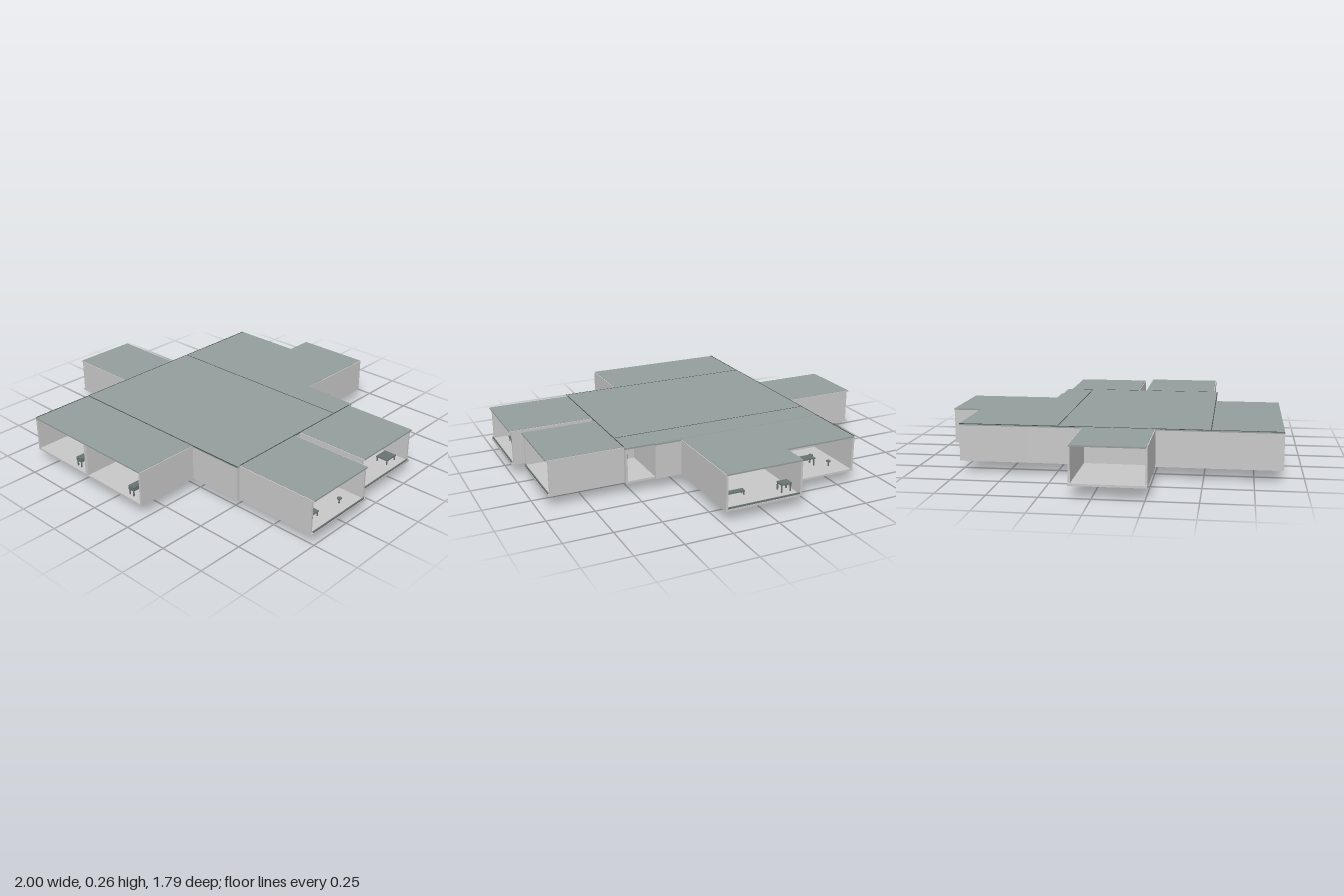
import * as THREE from 'three';

const mat = (name, color) => {
  const m = new THREE.MeshStandardMaterial({ color });
  m.name = name;
  return m;
};

export function createModel() {
  const root = new THREE.Group();
  root.name = 'modularBuilding';
  const wall = mat('wall grey', 0xc7c7c7);
  const roof = mat('roof grey green', 0x939d9b);
  const dark = mat('dark grey green', 0x687472);
  const glass = mat('window grey green', 0x9ba6a4);
  const line = mat('seam charcoal', 0x414847);

  const Y0 = 0.06, YF = 0.071, YC = 0.246, Y1 = 0.255, T = 0.011, LIP = 0.005;

  // Box given by its limits on each axis
  function block(parent, name, m, x0, x1, y0, y1, z0, z1) {
    const mesh = new THREE.Mesh(new THREE.BoxGeometry(x1 - x0, y1 - y0, z1 - z0), m);
    mesh.position.set((x0 + x1) / 2, (y0 + y1) / 2, (z0 + z1) / 2);
    mesh.name = name;
    parent.add(mesh);
  }

  // Box-shaped room with one open side; the outer walls show as a light lip beside the roof
  function room(name, x0, x1, z0, z1, open) {
    const g = new THREE.Group();
    g.name = name;
    root.add(g);
    const lipX = x1 === 0.235 ? LIP : 0, lipZ = open.endsWith('x') ? LIP : 0;
    block(g, 'floor', wall, x0, x1, Y0, YF, z0, z1);
    block(g, 'roof', roof, x0, x1 - lipX, YC, Y1 - 0.001, z0 + lipZ, z1 - lipZ);
    if (lipX) block(g, 'wallLip', wall, x1 - LIP, x1, YC, Y1 - 0.003, z0, z1);
    if (lipZ) {
      block(g, 'wallLip', wall, x0, x1, YC, Y1 - 0.003, z0, z0 + LIP);
      block(g, 'wallLip', wall, x0, x1, YC, Y1 - 0.003, z1 - LIP, z1);
    }
    if (open !== '-x') block(g, 'sideWall', wall, x0, x0 + T, YF, YC, z0, z1);
    if (open !== '+x') block(g, 'sideWall', wall, x1 - T, x1, YF, YC, z0, z1);
    if (open !== '-z') block(g, 'endWall', wall, x0 + T, x1 - T, YF, YC, z0, z0 + T);
    if (open !== '+z') block(g, 'endWall', wall, x0 + T, x1 - T, YF, YC, z1 - T, z1);
    return g;
  }

  // Table with four legs
  function table(parent, name, x, z, w, d, h = 0.045, thick = 0.007) {
    const g = new THREE.Group();
    g.name = name;
    parent.add(g);
    block(g, 'tableTop', dark, x - w / 2, x + w / 2, YF + h - thick, YF + h, z - d / 2, z + d / 2);
    for (const sx of [-1, 1]) for (const sz of [-1, 1]) {
      const lx = x + sx * (w / 2 - 0.005), lz = z + sz * (d / 2 - 0.005);
      block(g, 'tableLeg', dark, lx - 0.003, lx + 0.003, YF, YF + h - thick, lz - 0.003, lz + 0.003);
    }
  }

  // Small round stool
  function stool(parent, x, z) {
    const seat = new THREE.Mesh(new THREE.CylinderGeometry(0.012, 0.012, 0.006, 12), dark);
    seat.position.set(x, YF + 0.028, z);
    seat.name = 'stoolSeat';
    parent.add(seat);
    block(parent, 'stoolPost', dark, x - 0.003, x + 0.003, YF, YF + 0.026, z - 0.003, z + 0.003);
  }

  // Central block
  const core = new THREE.Group();
  core.name = 'core';
  root.add(core);
  const CX0 = -0.595, CX1 = 0.54, CZ0 = -0.39, CZ1 = 0.535, DX = 0.38;
  block(core, 'floor', wall, CX0, CX1, Y0, YF, CZ0, CZ1);
  block(core, 'roof', roof, CX0, CX1, YC, Y1, CZ0, CZ1);
  block(core, 'leftSideWall', wall, CX1 - T, CX1, YF, YC, CZ0, CZ1);
  block(core, 'rightSideWall', wall, CX0, CX0 + T, YF, YC, CZ0, CZ1);
  block(core, 'frontWall', wall, CX0, CX1, YF, YC, CZ1 - T, CZ1);
  block(core, 'backWall', wall, 0.235, DX, Y0, YC, CZ0 - 0.01, CZ0 + T);
  block(core, 'backWallCap', roof, 0.235, DX, YC, Y1 - 0.001, CZ0 - 0.01, CZ0);

  // Recessed entrance on the back
  block(core, 'entranceSideWall', wall, DX - T, DX, YF, YC, CZ0 + T, -0.1);
  block(core, 'entranceEndWall', wall, DX, CX1 - T, YF, YC, -0.11, -0.1);
  block(core, 'entranceDoor', dark, 0.42, 0.5, YF, 0.215, -0.117, -0.11);

  // Underside panel and ground rails
  block(core, 'undersidePanel', roof, -0.44, 0.38, Y0 - 0.002, Y0 + 0.004, -0.2, 0.5);
  for (const z of [-0.11, 0.26]) block(root, 'groundRail', dark, -0.22, 0.32, 0, 0.008, z - 0.002, z + 0.002);

  // Rooms around the core
  const frontA = room('frontRightRoom', -0.595, -0.183, CZ1, 0.893, '+z');
  const frontB = room('frontLeftRoom', -0.183, 0.235, CZ1, 0.893, '+z');
  const backA = room('backRightRoom', -0.595, -0.187, -0.745, CZ0, '-z');
  const backB = room('backLeftRoom', -0.187, 0.235, -0.897, CZ0, '-z');
  const sideA = room('leftFrontRoom', CX1, 1.0, 0.095, 0.517, '+x');
  const sideB = room('leftBackRoom', CX1, 0.947, -0.37, 0.055, '+x');
  room('rightRoom', -1.0, CX0, -0.11, 0.26, '-x');

  // Front rooms: doors, windows, tables against or before the inner wall
  const fz = CZ1 + T;
  block(frontA, 'door', dark, -0.432, -0.393, YF, 0.228, fz, fz + 0.008);
  block(frontA, 'doorHeader', dark, -0.44, -0.305, 0.23, 0.242, fz, fz + 0.02);
  block(frontA, 'lampPost', dark, -0.352, -0.348, YF, 0.24, fz + 0.01, fz + 0.014);
  block(frontB, 'door', dark, -0.022, 0.068, YF, 0.225, fz, fz + 0.008);
  block(frontB, 'doorHeader', dark, -0.03, 0.075, 0.225, 0.238, fz, fz + 0.015);
  for (const [g, x] of [[frontA, -0.512], [frontB, 0.148]]) {
    block(g, 'window', glass, x - 0.048, x + 0.048, 0.127, 0.184, fz, fz + 0.006);
    block(g, 'windowBar', line, x - 0.001, x + 0.001, 0.127, 0.184, fz + 0.006, fz + 0.008);
  }
  for (const [g, x] of [[frontA, -0.275], [frontB, 0.135]]) table(g, 'table', x, 0.82, 0.038, 0.1, 0.052, 0.022);

  // Left front room: hanging panels, counter, narrow door, stools
  const sx = CX1 + T;
  for (let i = 0; i < 5; i++) {
    const z = 0.205 + i * 0.031;
    block(sideA, 'hangingPanel', dark, sx, sx + 0.01, i === 4 ? YF : 0.135, 0.242, z, z + 0.026);
  }
  block(sideA, 'narrowDoor', glass, sx, sx + 0.008, YF, 0.175, 0.4, 0.425);
  table(sideA, 'counter', 0.72, 0.27, 0.05, 0.16, 0.03);
  table(sideA, 'sideTable', 0.88, 0.4, 0.09, 0.05, 0.03);
  for (const [x, z] of [[0.66, 0.22], [0.66, 0.32], [0.8, 0.2], [0.8, 0.32], [0.93, 0.22]]) stool(sideA, x, z);
  block(sideA, 'sill', dark, 0.992, 0.998, YF, 0.079, 0.106, 0.506);

  // Left back room: door, tables, shelf
  block(sideB, 'door', dark, sx, sx + 0.008, YF, 0.225, -0.19, -0.108);
  table(sideB, 'longTable', 0.74, -0.14, 0.06, 0.23, 0.032);
  table(sideB, 'sideTable', 0.86, -0.28, 0.07, 0.08, 0.03);
  for (let i = 0; i < 4; i++) block(sideB, 'shelfBoard', dark, 0.6, 0.66, 0.09 + i * 0.035, 0.096 + i * 0.035, -0.352, -0.313);
  for (const z of [-0.355, -0.313]) block(sideB, 'shelfSide', dark, 0.6, 0.66, YF, 0.198, z, z + 0.003);
  block(sideB, 'shelfBack', glass, 0.597, 0.6, YF, 0.198, -0.355, -0.31);
  block(sideB, 'sill', dark, 0.939, 0.945, YF, 0.079, -0.359, 0.044);

  // Back rooms: tables and stools
  table(backA, 'table', -0.39, -0.6, 0.1, 0.05);
  for (const [x, z] of [[-0.5, -0.66], [-0.46, -0.55], [-0.3, -0.66], [-0.28, -0.55]]) stool(backA, x, z);
  table(backB, 'longTable', 0.12, -0.77, 0.1, 0.03, 0.025);
  table(backB, 'cornerTable', -0.13, -0.82, 0.06, 0.05);
  block(backB, 'sill', dark, -0.176, 0.224, YF, 0.079, -0.895, -0.889);

  // Roof seams
  const s = 0.002, top = Y1 + 0.0005;
  for (const z of [-0.235, CZ1]) block(root, 'roofSeam', line, CX0, CX1, Y1 - 0.002, top, z - s, z + s);
  block(root, 'roofSeam', line, CX0, CX0 + 2 * s, Y1 - 0.002, top, -0.744, 0.892);
  block(root, 'roofSeam', line, CX1 - s, CX1 + s, Y1 - 0.002, top, -0.365, 0.512);

  return root;
}
